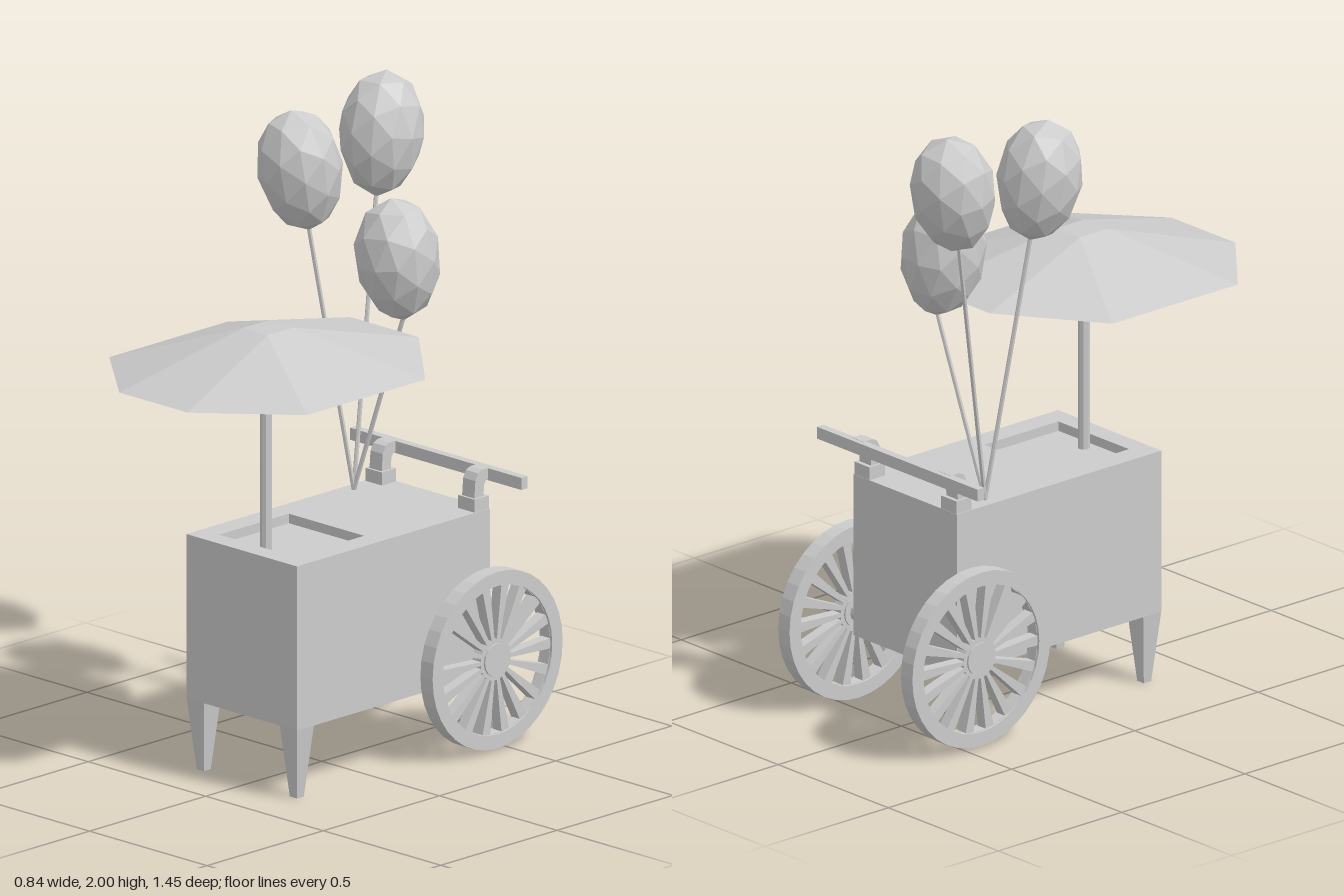
import * as THREE from 'three';

const mat = new THREE.MeshStandardMaterial({ color: 0xcccccc, flatShading: true });
const thinMat = new THREE.MeshStandardMaterial({ color: 0xcccccc, flatShading: true, side: THREE.DoubleSide });
const V = (x, y, z) => new THREE.Vector3(x, y, z);

export function createModel() {
  const model = new THREE.Group();

  const add = (name, geo, pos = [0, 0, 0], parent = model, material = mat) => {
    const mesh = new THREE.Mesh(geo, material);
    mesh.name = name;
    mesh.position.set(...pos);
    parent.add(mesh);
    return mesh;
  };
  const extrude = (shape, depth, curveSegments = 32) =>
    new THREE.ExtrudeGeometry(shape, { depth, bevelEnabled: false, curveSegments });
  // straight rod between two points
  const rod = (name, a, b, r, sides) => {
    const mesh = add(name, new THREE.CylinderGeometry(r, r, a.distanceTo(b), sides));
    mesh.position.lerpVectors(a, b, 0.5);
    mesh.quaternion.setFromUnitVectors(V(0, 1, 0), b.clone().sub(a).normalize());
    return mesh;
  };
  const rectangle = (path, x0, y0, x1, y1) => {
    path.moveTo(x0, y0); path.lineTo(x1, y0); path.lineTo(x1, y1); path.lineTo(x0, y1); path.closePath();
    return path;
  };

  // cart body, with a shallow serving well sunk into the top
  const wellDepth = 0.03;
  add('cartBody', new THREE.BoxGeometry(0.47, 0.52 - wellDepth, 0.83), [0, 0.225 + (0.52 - wellDepth) / 2, -0.07]);
  const top = rectangle(new THREE.Shape(), -0.235, -0.345, 0.235, 0.485);
  top.holes.push(rectangle(new THREE.Path(), -0.16, -0.28, 0.16, 0.02));
  add('cartTop', extrude(top, wellDepth).rotateX(-Math.PI / 2), [0, 0.745 - wellDepth, 0]);

  // wheel: full-width rim, thinner spoked disc, hub
  const wheelRim = new THREE.Shape().absarc(0, 0, 0.28, 0, Math.PI * 2);
  wheelRim.holes.push(new THREE.Path().absarc(0, 0, 0.235, 0, Math.PI * 2, true));
  const spokes = new THREE.Shape().absarc(0, 0, 0.24, 0, Math.PI * 2);
  const count = 18;
  for (let i = 0; i < count; i++) {
    const mid = (i + 0.5) * Math.PI * 2 / count;
    const slot = [[0.065, -0.075], [0.234, -0.105], [0.234, 0.105], [0.065, 0.075]].map(
      ([r, a]) => new THREE.Vector2(r * Math.cos(mid + a), r * Math.sin(mid + a)));
    spokes.holes.push(new THREE.Path(slot));
  }
  for (const side of [1, -1]) {
    const wheel = new THREE.Group();
    wheel.name = side > 0 ? 'leftWheel' : 'rightWheel';
    wheel.position.set(side * 0.279, 0.288, -0.448);
    wheel.rotation.y = side * Math.PI / 2;
    model.add(wheel);
    add('wheelRim', extrude(wheelRim, 0.052, 18), [0, 0, -0.026], wheel);
    add('wheelSpokes', extrude(spokes, 0.036, 18), [0, 0, -0.018], wheel);
    add('wheelHub', new THREE.CylinderGeometry(0.052, 0.052, 0.048, 16).rotateX(Math.PI / 2), [0, 0, 0], wheel);
  }
  rod('axle', V(-0.29, 0.288, -0.448), V(0.29, 0.288, -0.448), 0.032, 12);

  // tapered front legs and rear handle brackets, mirrored
  const bracket = new THREE.Shape();
  bracket.moveTo(0.43, 0.78);
  [[0.435, 0.84], [0.447, 0.862], [0.465, 0.87], [0.5, 0.87], [0.5, 0.835], [0.48, 0.833], [0.472, 0.82], [0.47, 0.78]]
    .forEach(([x, y]) => bracket.lineTo(x, y));
  for (const side of [1, -1]) {
    const leg = new THREE.CylinderGeometry(0.0365 * Math.SQRT2, 0.015 * Math.SQRT2, 0.225, 4).rotateY(Math.PI / 4);
    add('frontLeg', leg, [side * 0.198, 0.1125, 0.308]);
    add('bracketBase', new THREE.BoxGeometry(0.07, 0.042, 0.062), [side * 0.197, 0.765, -0.453]);
    add('handleBracket', extrude(bracket, 0.052).rotateY(Math.PI / 2), [side * 0.197 - 0.026, 0, 0]);
  }
  add('handleBar', new THREE.BoxGeometry(0.73, 0.038, 0.027), [0, 0.85, -0.503]);

  // umbrella: eight-cornered shell rising to a small square crown
  const rimPoints = [[0.145, 0.497], [0.42, 0.262], [0.42, -0.248], [0.145, -0.498],
    [-0.145, -0.498], [-0.42, -0.248], [-0.42, 0.262], [-0.145, 0.497]];
  const rim = rimPoints.map(([x, z]) => V(x, z < -0.4 ? 1.316 : 1.297, z + 0.228));
  const crown = [[1, 1], [1, -1], [-1, -1], [-1, 1]].map(([x, z]) => V(x * 0.053, 1.425, z * 0.056 + 0.232));
  const faces = [crown[0], crown[1], crown[2], crown[0], crown[2], crown[3]];
  for (let i = 0; i < 4; i++) {
    const a = rim[2 * i], b = rim[2 * i + 1], c = rim[(2 * i + 2) % 8];
    const p = crown[i], q = crown[(i + 1) % 4];
    faces.push(a, b, p, b, c, p, c, q, p);
  }
  const canopy = new THREE.BufferGeometry().setFromPoints(faces);
  canopy.computeVertexNormals();
  add('umbrellaCanopy', canopy, [0, 0, 0], model, thinMat);
  add('umbrellaHub', new THREE.CylinderGeometry(0.07, 0.025, 0.05, 4).rotateY(Math.PI / 4), [0, 1.393, 0.237]);
  rod('umbrellaPole', V(0, 0.7, 0.24), V(0, 1.4, 0.24), 0.018, 8);

  // balloons: faceted, slightly narrower below, leaning along their strings
  const knot = V(-0.195, 0.745, -0.335);
  const balloons = [
    [V(-0.285, 1.808, -0.545), V(-0.272, 1.63, -0.51)],
    [V(-0.285, 1.768, -0.195), V(-0.272, 1.59, -0.218)],
    [V(-0.043, 1.5, -0.37), V(-0.03, 1.32, -0.383)],
  ];
  balloons.forEach(([centre, end], i) => {
    const geo = new THREE.IcosahedronGeometry(1, 1);
    const p = geo.attributes.position;
    for (let j = 0; j < p.count; j++) {
      const y = p.getY(j), r = 0.132 * (1 + 0.07 * y);
      p.setXYZ(j, p.getX(j) * r, y * 0.194, p.getZ(j) * r);
    }
    geo.rotateY(i * 0.9);
    geo.computeVertexNormals();
    const balloon = add('balloon', geo, centre.toArray());
    balloon.quaternion.setFromUnitVectors(V(0, 1, 0), centre.clone().sub(end).normalize());
    rod('balloonString', knot, end, 0.007, 6);
  });

  return model;
}
